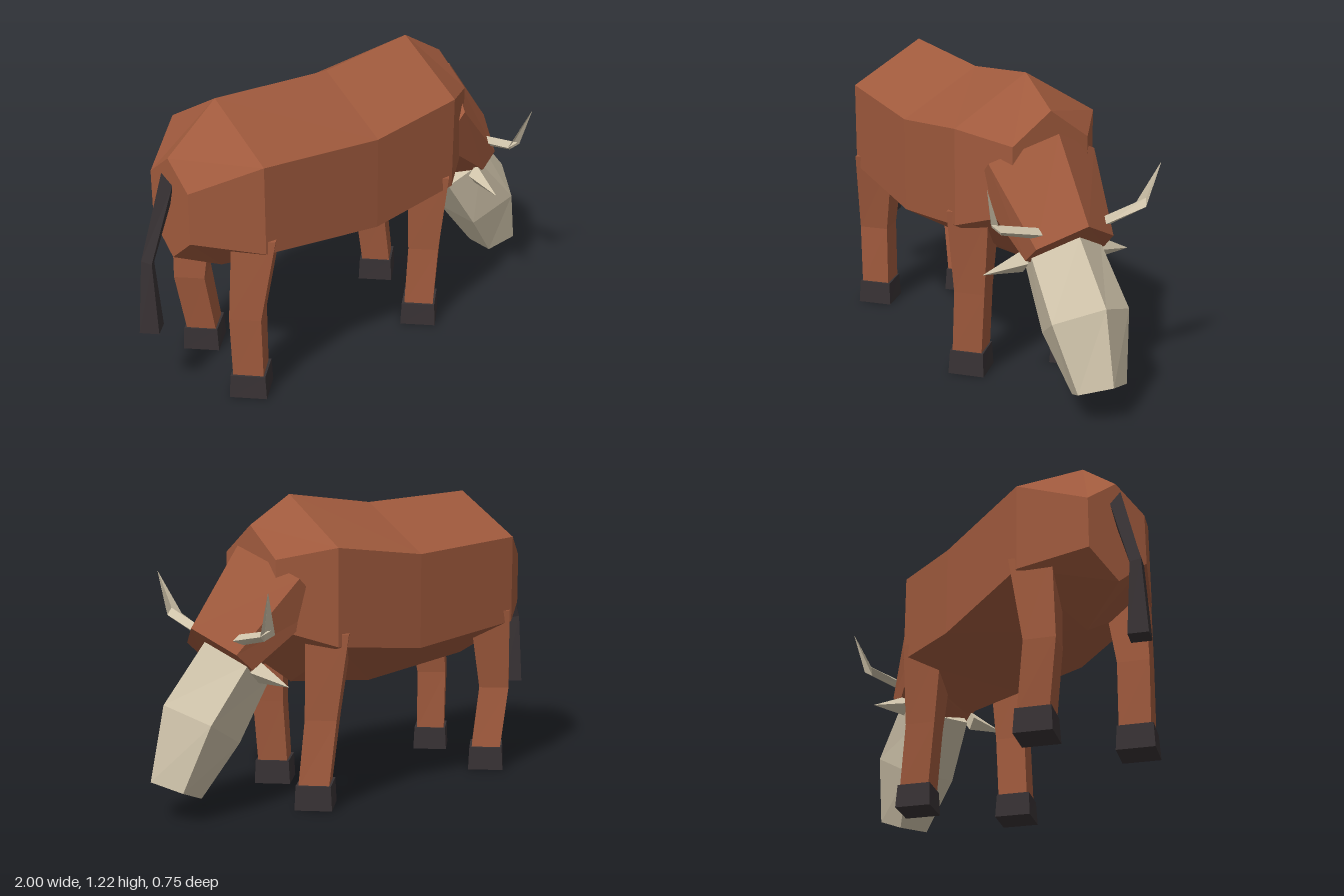
import * as THREE from 'three';

const brown = new THREE.MeshStandardMaterial({ color: 0xa05a3d });
brown.name = 'red brown hide';
const tan = new THREE.MeshStandardMaterial({ color: 0xcfc3aa });
tan.name = 'pale tan';
const dark = new THREE.MeshStandardMaterial({ color: 0x383234 });
dark.name = 'charcoal';

// Closed faceted solid through rings of points; winding is fixed by signed volume
function loft(name, rings, material) {
  const tris = [];
  const n = rings[0].length;
  for (let r = 0; r + 1 < rings.length; r++) {
    for (let i = 0; i < n; i++) {
      const j = (i + 1) % n;
      const [a, b, c, d] = [rings[r][i], rings[r][j], rings[r + 1][j], rings[r + 1][i]];
      tris.push([a, b, c], [a, c, d]);
    }
  }
  const first = rings[0], last = rings[rings.length - 1];
  for (let i = 1; i + 1 < n; i++) {
    tris.push([first[0], first[i + 1], first[i]], [last[0], last[i], last[i + 1]]);
  }
  const v = (p) => new THREE.Vector3(...p);
  const o = v(first[0]);
  let volume = 0;
  for (const [a, b, c] of tris) {
    volume += v(a).sub(o).dot(v(b).sub(o).cross(v(c).sub(o)));
  }
  if (volume < 0) tris.forEach((t) => t.reverse());
  const geometry = new THREE.BufferGeometry();
  geometry.setAttribute('position', new THREE.Float32BufferAttribute(tris.flat(2), 3));
  geometry.computeVertexNormals();
  const mesh = new THREE.Mesh(geometry, material);
  mesh.name = name;
  return mesh;
}

// Six-sided ring: ridge, upper side, lower side and keel, mirrored in z
function hexRing(top, upper, lower, bottom, w, wLow = w) {
  return [[...top, 0], [...upper, w], [...lower, wLow], [...bottom, 0], [...lower, -wLow], [...upper, -w]];
}

// Five-sided ring: ridge, side and flat underside
function pentRing(top, side, bottom, w, wLow) {
  return [[...top, 0], [...side, w], [...bottom, wLow], [...bottom, -wLow], [...side, -w]];
}

// Level diamond ring
function diamond(x, y, z, rx, rz = rx) {
  return [[x + rx, y, z], [x, y, z + rz], [x - rx, y, z], [x, y, z - rz]];
}

// Diamond ring in the x-y plane tilted along u, for horns and ears
function crossRing([x, y, z], rx, ry, tiltZ = 0) {
  return [[x + rx, y, z], [x, y + ry, z - tiltZ], [x - rx, y, z], [x, y - ry, z + tiltZ]];
}

export function createModel() {
  const model = new THREE.Group();
  model.name = 'grazingAnimal';

  // Body: x, ridge, upper side, lower side, keel, half width
  const body = [
    [-0.83, 1.0, 0.9, 0.69, 0.58, 0.13],
    [-0.61, 1.185, 1.01, 0.65, 0.47, 0.31],
    [-0.08, 1.165, 0.98, 0.6, 0.415, 0.325],
    [0.33, 1.22, 1.035, 0.65, 0.465, 0.31],
    [0.52, 1.11, 0.99, 0.72, 0.6, 0.165],
  ].map(([x, t, u, l, b, w]) => hexRing([x, t], [x, u], [x, l], [x, b], w));
  model.add(loft('body', body, brown));

  // Head, sloping forward and down
  model.add(loft('head', [
    hexRing([0.58, 1.035], [0.46, 0.92], [0.34, 0.8], [0.22, 0.68], 0.235),
    hexRing([0.8, 0.735], [0.71, 0.645], [0.64, 0.58], [0.56, 0.5], 0.17, 0.175),
  ], brown));

  // Muzzle
  model.add(loft('muzzle', [
    pentRing([0.74, 0.675], [0.645, 0.6], [0.51, 0.51], 0.155, 0.1),
    pentRing([0.93, 0.455], [0.83, 0.39], [0.66, 0.285], 0.17, 0.11),
    pentRing([0.995, 0.165], [0.92, 0.13], [0.81, 0.08], 0.108, 0.065),
  ], tan));

  // Horns and ears on both sides
  for (const [s, side] of [[1, 'right'], [-1, 'left']]) {
    model.add(loft(side + 'Horn', [
      crossRing([0.68, 0.695, s * 0.14], 0.025, 0.022),
      crossRing([0.672, 0.735, s * 0.318], 0.034, 0.024, -s * 0.022),
      crossRing([0.71, 0.905, s * 0.376], 0.001, 0.001),
    ], tan));
    model.add(loft(side + 'Ear', [
      crossRing([0.605, 0.568, s * 0.165], 0.04, 0.045),
      crossRing([0.58, 0.53, s * 0.322], 0.001, 0.001),
    ], tan));
  }

  // Legs: side, x at top, knee, ankle and hoof
  const legs = [
    ['rightFrontLeg', 1, 0.295, 0.283, 0.263, 0.262],
    ['leftFrontLeg', -1, 0.295, 0.327, 0.365, 0.365],
    ['rightHindLeg', 1, -0.58, -0.63, -0.625, -0.625],
    ['leftHindLeg', -1, -0.58, -0.62, -0.575, -0.575],
  ];
  for (const [name, s, top, knee, ankle, foot] of legs) {
    const leg = new THREE.Group();
    leg.name = name;
    leg.add(loft('shank', [
      diamond(top, 0.7, s * 0.21, 0.12),
      diamond(knee, 0.355, s * 0.205, 0.09, 0.087),
      diamond(ankle, 0.09, s * 0.205, 0.086),
    ], brown));
    leg.add(loft('hoof', [
      diamond(foot, 0.098, s * 0.206, 0.1, 0.096),
      diamond(foot, 0, s * 0.206, 0.106, 0.104),
    ], dark));
    model.add(leg);
  }

  // Tail, hanging from the rump; the top ring leans against the body
  model.add(loft('tail', [
    [[-0.82, 0.83, 0], [-0.835, 0.9, 0.032], [-0.86, 0.95, 0], [-0.835, 0.9, -0.032]],
    [[-0.915, 0.59, 0], [-0.945, 0.6, 0.032], [-0.972, 0.61, 0], [-0.945, 0.6, -0.032]],
    diamond(-0.945, 0.302, 0, 0.055),
  ], dark));

  return model;
}
